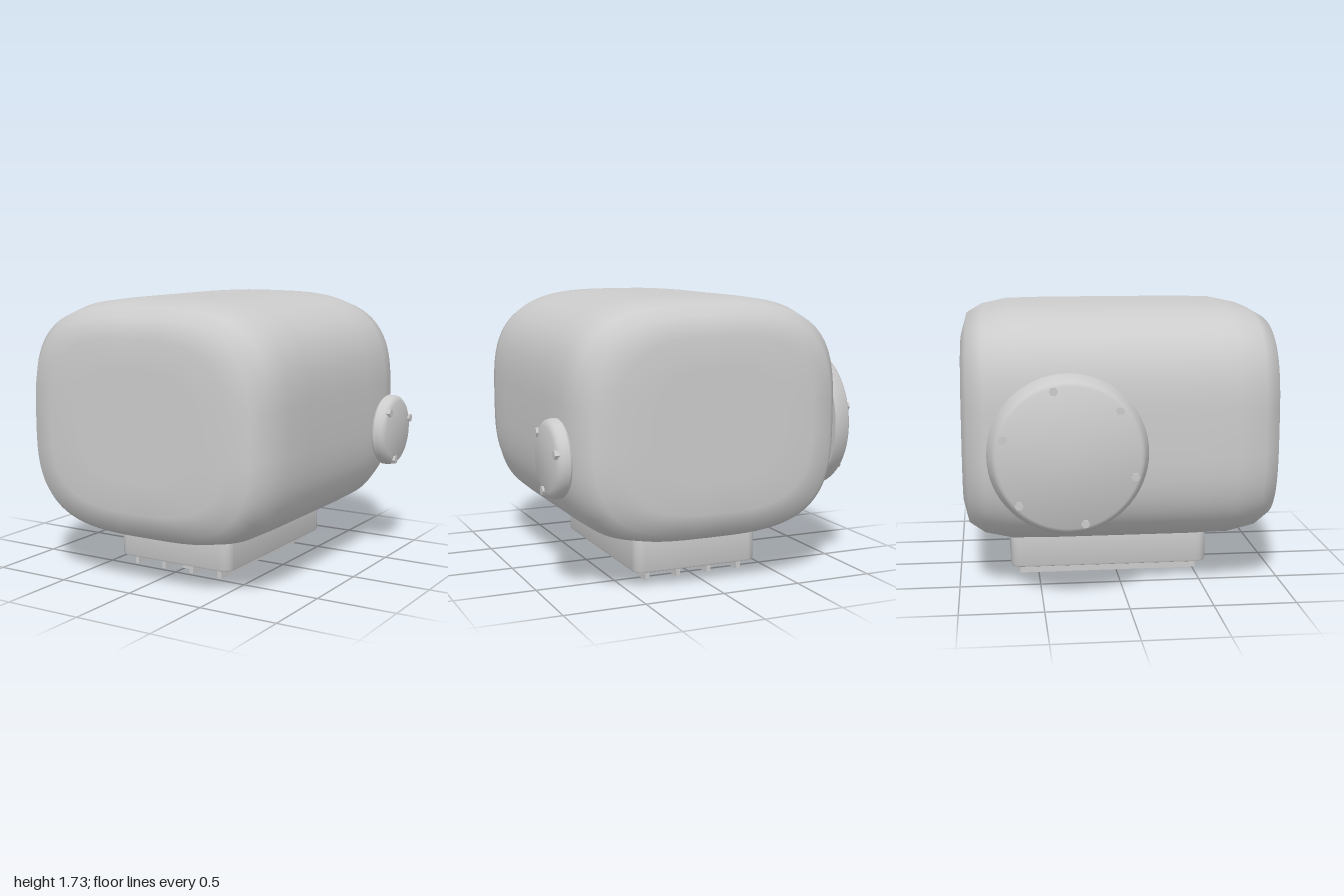
import * as THREE from 'three';
import { toCreasedNormals } from 'three/addons/utils/BufferGeometryUtils.js';

const material = new THREE.MeshStandardMaterial({ color: 0xcccccc });
const CX = 0.02; // centre line of the housing

function mesh(name, geometry, parent, x = 0, y = 0, z = 0) {
  const m = new THREE.Mesh(geometry, material);
  m.name = name;
  m.position.set(x, y, z);
  parent.add(m);
  return m;
}

// Housing: rounded cross-sections lofted along z, closed by flat ends
function housingGeometry() {
  // z, half width, half height, roundness exponent
  const half = [
    [0.42, 0.877, 0.735, 3.3], [0.67, 0.873, 0.73, 3.3], [0.835, 0.842, 0.695, 3.3],
    [0.932, 0.765, 0.64, 3.2], [0.966, 0.62, 0.518, 3.1], [0.966, 0.4, 0.33, 2.8], [0.966, 0, 0, 2],
  ];
  const rings = [...half.map(([z, ...r]) => [-z, ...r]).reverse(), ...half];
  const n = 96, pos = [], index = [];
  const power = (v, e) => Math.sign(v) * Math.pow(Math.abs(v), 2 / e);
  rings.forEach(([z, w, h, e], i) => {
    for (let j = 0; j < n; j++) {
      const t = (j / n) * Math.PI * 2;
      pos.push(w * power(Math.cos(t), e), h * power(Math.sin(t), e), z);
      if (i === rings.length - 1) continue;
      const a = i * n + j, b = i * n + (j + 1) % n;
      index.push(a, b, b + n, a, b + n, a + n);
    }
  });
  const g = new THREE.BufferGeometry();
  g.setAttribute('position', new THREE.Float32BufferAttribute(pos, 3));
  g.setIndex(index);
  g.computeVertexNormals();
  return g;
}

// Round side cover with a ring of hex bolts; local y points outward
function sideCover(name, side, [x, y, z], profile, bolts) {
  const cover = new THREE.Group();
  cover.name = name;
  cover.position.set(x, y, z);
  cover.rotation.z = -side * Math.PI / 2;
  const points = profile.map(([r, h]) => new THREE.Vector2(r, h));
  mesh(name + 'Disc', toCreasedNormals(new THREE.LatheGeometry(points, 64), 0.6), cover);
  const shank = new THREE.CylinderGeometry(bolts.size, bolts.size, 0.05, 6).toNonIndexed();
  shank.computeVertexNormals();
  for (let i = 0; i < bolts.count; i++) {
    const a = THREE.MathUtils.degToRad(bolts.start + (i * 360) / bolts.count);
    mesh(name + 'Bolt', shank, cover,
      -side * Math.sin(a) * bolts.radius, bolts.top - 0.025, Math.cos(a) * bolts.radius);
  }
  return cover;
}

// Rounded rectangle in plan
function roundedRect(w, d, r) {
  const s = new THREE.Shape();
  const x = w / 2 - r, y = d / 2 - r;
  s.absarc(x, y, r, 0, Math.PI / 2);
  s.absarc(-x, y, r, Math.PI / 2, Math.PI);
  s.absarc(-x, -y, r, Math.PI, Math.PI * 1.5);
  s.absarc(x, -y, r, Math.PI * 1.5, Math.PI * 2);
  s.closePath();
  return s;
}

export function createModel() {
  const model = new THREE.Group();
  model.name = 'gearHousing';

  mesh('housing', housingGeometry(), model, CX, 0.996, 0);

  // Bolted covers on both sides
  model.add(sideCover('largeCover', -1, [-0.857, 0.908, -0.348],
    [[0, 0], [0.472, 0], [0.472, 0.025], [0.44, 0.11], [0.432, 0.122], [0.415, 0.133], [0, 0.133]],
    { count: 6, start: 43, radius: 0.397, size: 0.026, top: 0.143 }));
  model.add(sideCover('smallCover', 1, [0.9, 0.826, -0.68],
    [[0, 0], [0.222, 0], [0.231, 0.012], [0.231, 0.045], [0.224, 0.065], [0.21, 0.079], [0.192, 0.087], [0, 0.087]],
    { count: 3, start: 43, radius: 0.196, size: 0.028, top: 0.1 }));

  // Sump under the housing, with a bevelled lower edge
  const bevel = 0.015;
  const sump = new THREE.ExtrudeGeometry(roundedRect(0.785, 1.215, 0.05), {
    depth: 0.26, bevelSize: bevel, bevelThickness: bevel, bevelSegments: 2, curveSegments: 8,
  });
  sump.rotateX(Math.PI / 2);
  mesh('sump', toCreasedNormals(sump, 0.6), model, CX, 0.35, -0.055);

  // Cooling fins
  const fin = new THREE.BoxGeometry(0.026, 0.075, 1.13);
  for (let i = 0; i < 4; i++) mesh('coolingFin', fin, model, -0.29 + i * 0.207, 0.0525, -0.055);

  // Hexagonal drain plug
  const plug = new THREE.CylinderGeometry(0.062, 0.062, 0.09, 6).rotateY(Math.PI / 6).toNonIndexed();
  plug.computeVertexNormals();
  mesh('drainPlug', plug, model, CX, 0.045, 0.345);

  return model;
}
